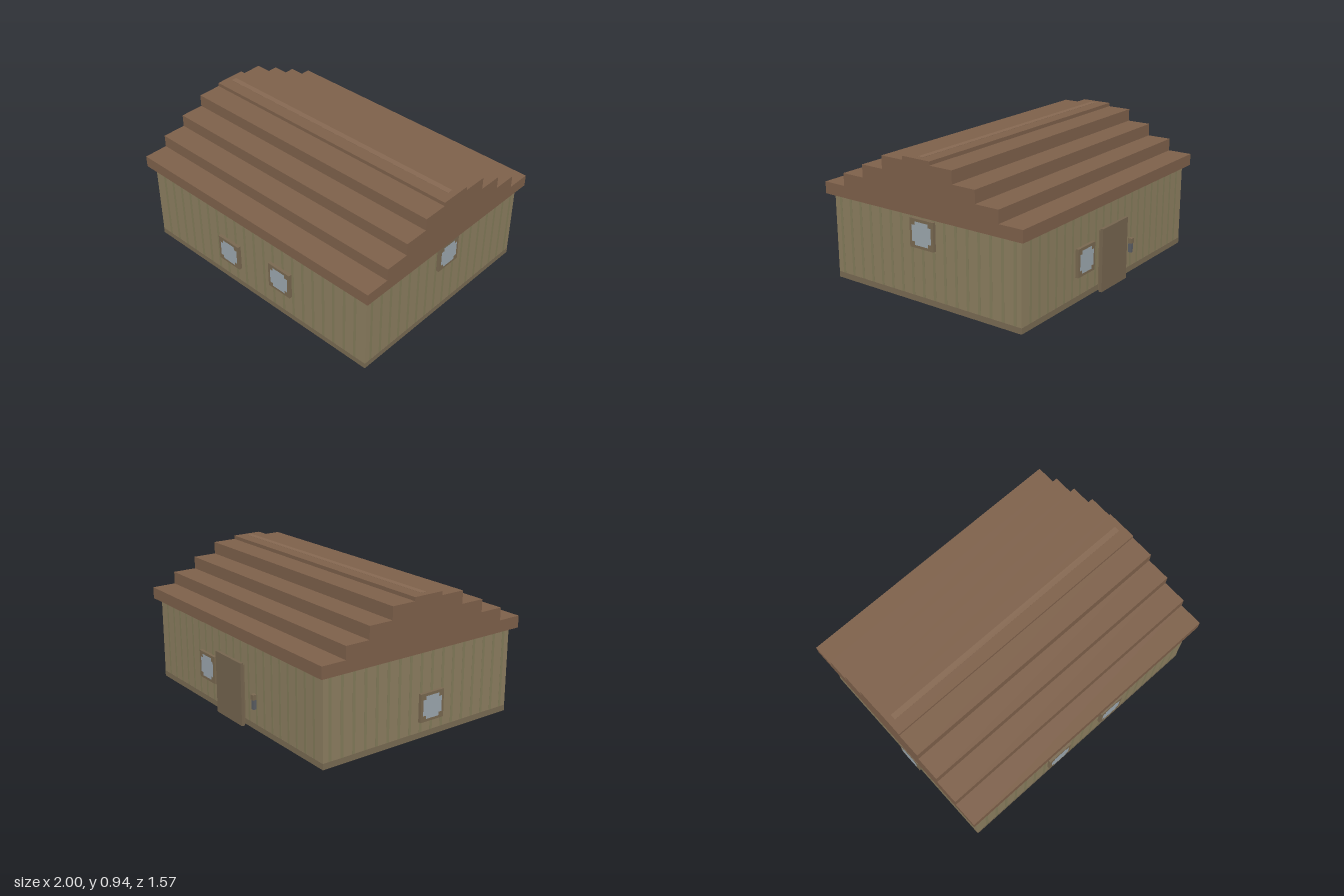
import * as THREE from 'three';

const mat = (color, extra = {}) => new THREE.MeshStandardMaterial({ color, ...extra });
const WALL = mat(0x8b7d5f), STRIPE = mat(0x827a59), BASE = mat(0x786a52), FRAME = mat(0x786850);
const ROOF = mat(0x7d604a), RIDGE = mat(0x856851), DOOR = mat(0x74644e), GREY = mat(0x5a5d63);
const GLASS = mat(0x9ba6ad, { side: THREE.DoubleSide });

const HX = 0.957, HZ = 0.745, WALL_H = 0.58;

// Box given by its lower and upper corners
function box(name, material, x0, x1, y0, y1, z0, z1) {
  const mesh = new THREE.Mesh(new THREE.BoxGeometry(x1 - x0, y1 - y0, z1 - z0), material);
  mesh.position.set((x0 + x1) / 2, (y0 + y1) / 2, (z0 + z1) / 2);
  mesh.name = name;
  return mesh;
}

// Square framed window with a notched pane, facing +z from its wall
function makeWindow() {
  const g = new THREE.Group();
  g.name = 'window';
  g.add(box('windowFrame', FRAME, -0.094, 0.094, -0.094, 0.094, 0, 0.022));
  const a = 0.076, b = 0.053;
  const pane = new THREE.Shape([
    [-b, -a], [b, -a], [b, -b], [a, -b], [a, b], [b, b],
    [b, a], [-b, a], [-b, b], [-a, b], [-a, -b], [-b, -b],
  ].map(([x, y]) => new THREE.Vector2(x, y)));
  const glass = new THREE.Mesh(new THREE.ShapeGeometry(pane), GLASS);
  glass.name = 'windowGlass';
  glass.position.z = 0.0235;
  g.add(glass);
  return g;
}

// One wall's painted board stripes and base band, facing +z
function makeCladding(half, start) {
  const g = new THREE.Group();
  g.name = 'wallCladding';
  const t = 0.0015, step = 0.087;
  for (let x = -half + start; x < half - 0.03; x += step) {
    g.add(box('boardStripe', STRIPE, x - 0.01, x + 0.01, 0.04, WALL_H, -t, t));
  }
  g.add(box('baseBand', BASE, -half, half, 0, 0.04, -t, t));
  return g;
}

// Stepped gable roof, one profile run along the length
function makeRoof() {
  const steps = [[0.785, 0.66], [0.615, 0.745], [0.446, 0.83], [0.277, 0.915], [0.108, 0.94]];
  const right = [];
  let y = WALL_H;
  for (const [z, top] of steps) {
    right.push([z, y], [z, top]);
    y = top;
  }
  const left = right.map(([z, h]) => [-z, h]).reverse();
  const shape = new THREE.Shape([...right, ...left].map(([z, h]) => new THREE.Vector2(z, h)));
  const geo = new THREE.ExtrudeGeometry(shape, { depth: 2, bevelEnabled: false });
  geo.translate(0, 0, -1).rotateY(Math.PI / 2);
  const roof = new THREE.Mesh(geo, ROOF);
  roof.name = 'steppedRoof';
  return roof;
}

export function createModel() {
  const model = new THREE.Group();
  model.name = 'cabin';
  model.add(box('walls', WALL, -HX, HX, 0, WALL_H, -HZ, HZ));
  model.add(makeRoof());
  model.add(box('ridgeStrip', RIDGE, -HX, HX, 0.935, 0.9415, -0.02, 0.02));

  // Each wall: turn about y, distance, half width, first stripe, windows as [sideways, height]
  const walls = [
    ['frontWall', 0, HZ, HX, 0.087, [[-0.226, 0.248], [0.243, 0.29]]],
    ['leftWall', Math.PI / 2, HX, HZ, 0.05, [[0.01, 0.46]]],
    ['backWall', Math.PI, HZ, HX, 0.087, [[-0.307, 0.265]]],
    ['rightWall', -Math.PI / 2, HX, HZ, 0.05, [[0.078, 0.205]]],
  ];
  for (const [name, turn, dist, half, start, windows] of walls) {
    const side = new THREE.Group();
    side.name = name;
    side.rotation.y = turn;
    side.position.set(Math.sin(turn) * dist, 0, Math.cos(turn) * dist);
    side.add(makeCladding(half, start));
    for (const [x, y] of windows) {
      const w = makeWindow();
      w.position.set(x, y, 0);
      side.add(w);
    }
    model.add(side);
  }

  // Back door: a set-in panel behind a larger slab
  model.add(box('doorPanel', FRAME, -0.125, 0.135, 0, 0.405, -0.766, -HZ));
  model.add(box('doorSlab', DOOR, -0.146, 0.156, 0, 0.425, -0.787, -0.766));

  // Small wall lever beside the door
  model.add(box('leverStem', GREY, -0.258, -0.236, 0.145, 0.215, -0.768, -HZ));
  model.add(box('leverCap', FRAME, -0.262, -0.232, 0.21, 0.245, -0.772, -HZ));
  return model;
}
